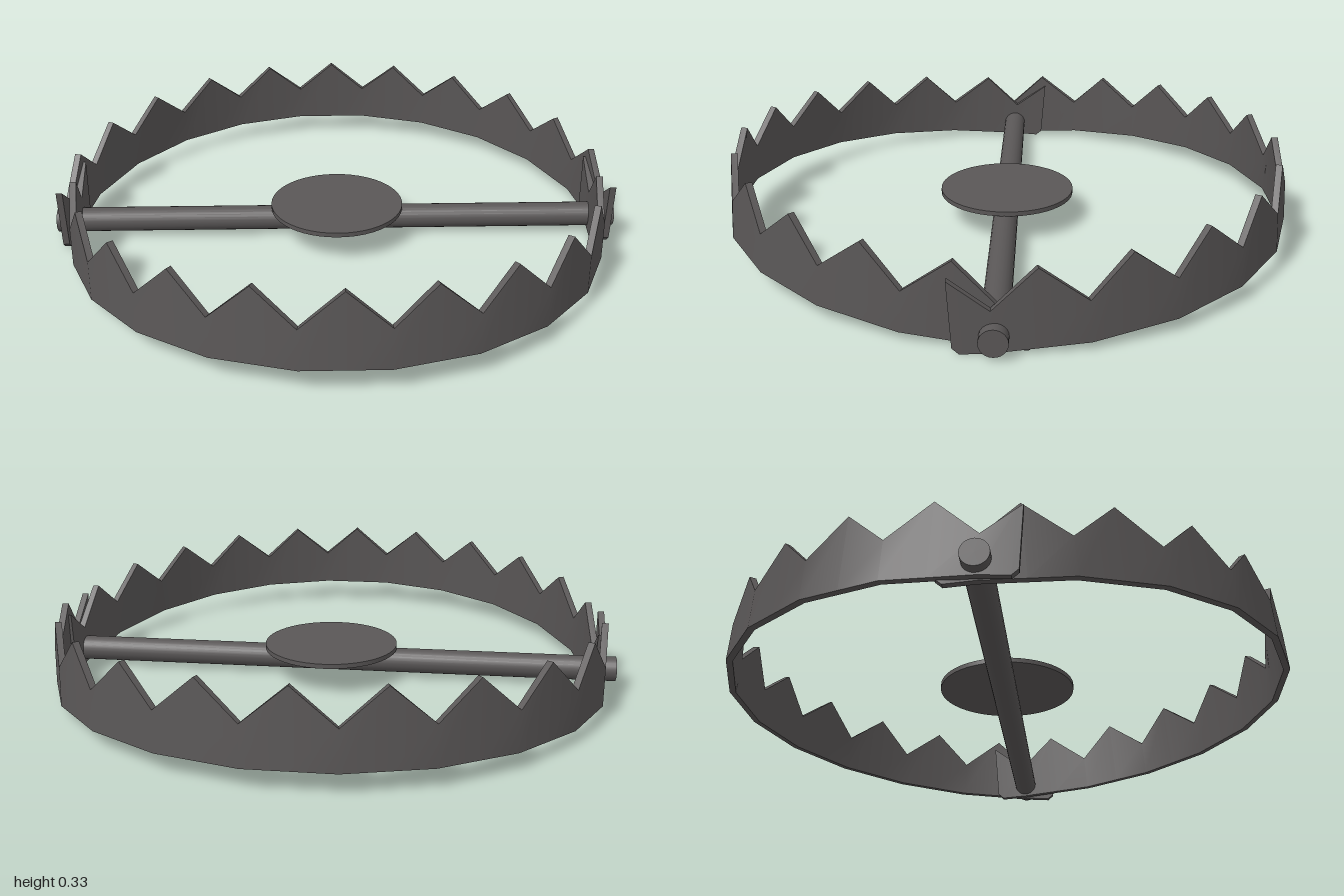
import * as THREE from 'three';
import { toCreasedNormals } from 'three/addons/utils/BufferGeometryUtils.js';

const material = new THREE.MeshStandardMaterial({ color: 0x5a5757 });
const TEETH = 11, THICK = 0.022, VALLEY = 0.14, PEAK = 0.255, BASE = 0.01;

function mesh(name, geometry) {
  const m = new THREE.Mesh(geometry, material);
  m.name = name;
  return m;
}

// Half-ring band with a saw-tooth upper edge and a straight tab past each pivot
function jawGeometry(rx, rz) {
  const columns = []; // outer x, outer z, inner x, inner z, bottom, top
  const corner = (i) => {
    const a = -Math.PI / 2 + (i / TEETH) * Math.PI;
    const s = Math.sin(a), c = Math.cos(a);
    return [rx * s, rz * c, (rx - THICK) * s, (rz - THICK) * c];
  };
  const tab = (side, z, bottom) => [
    side * rx, z, side * (rx - THICK), z, bottom,
    VALLEY + (PEAK - VALLEY) * (-z / 0.138),
  ];
  columns.push(tab(-1, -0.115, 0.03), tab(-1, -0.095, BASE));
  for (let i = 0; i <= TEETH; i++) {
    const p = corner(i);
    columns.push([...p, BASE, VALLEY]);
    if (i < TEETH) {
      const q = corner(i + 1);
      columns.push([...p.map((v, k) => (v + q[k]) / 2), BASE, PEAK]);
    }
  }
  columns.push(tab(1, -0.095, BASE), tab(1, -0.115, 0.03));

  const positions = [], index = [];
  for (const [ox, oz, ix, iz, low, high] of columns) {
    positions.push(ox, low, oz, ox, high, oz, ix, high, iz, ix, low, iz);
  }
  const last = (columns.length - 1) * 4;
  for (let c = 0; c < last; c += 4) {
    for (let k = 0; k < 4; k++) {
      const n = (k + 1) % 4;
      index.push(c + k, c + 4 + k, c + 4 + n, c + k, c + 4 + n, c + n);
    }
  }
  index.push(0, 1, 2, 0, 2, 3);
  index.push(last, last + 2, last + 1, last, last + 3, last + 2);

  const g = new THREE.BufferGeometry();
  g.setAttribute('position', new THREE.Float32BufferAttribute(positions, 3));
  g.setIndex(index);
  return toCreasedNormals(g, 0.6);
}

export function createModel() {
  const model = new THREE.Group();
  model.name = 'jawTrap';

  // Two toothed jaws, each raised slightly away from the pivot
  const frontJaw = mesh('frontJaw', jawGeometry(0.935, 0.978));
  frontJaw.rotation.x = -0.077;
  const backJaw = new THREE.Group();
  backJaw.name = 'backJaw';
  const backBand = mesh('backJawBand', jawGeometry(0.965, 0.974));
  backBand.rotation.x = -0.065;
  backJaw.add(backBand);
  backJaw.rotation.y = Math.PI;
  model.add(frontJaw, backJaw);

  // Pivot rod running through both pairs of tabs
  const rod = mesh('pivotRod', new THREE.CylinderGeometry(0.043, 0.043, 2, 24));
  rod.rotation.z = Math.PI / 2;
  rod.position.y = 0.06;
  model.add(rod);

  // Round trigger plate resting on the rod
  const plate = mesh('triggerPlate', new THREE.CylinderGeometry(0.235, 0.235, 0.016, 48));
  plate.position.y = 0.11;
  model.add(plate);

  return model;
}
